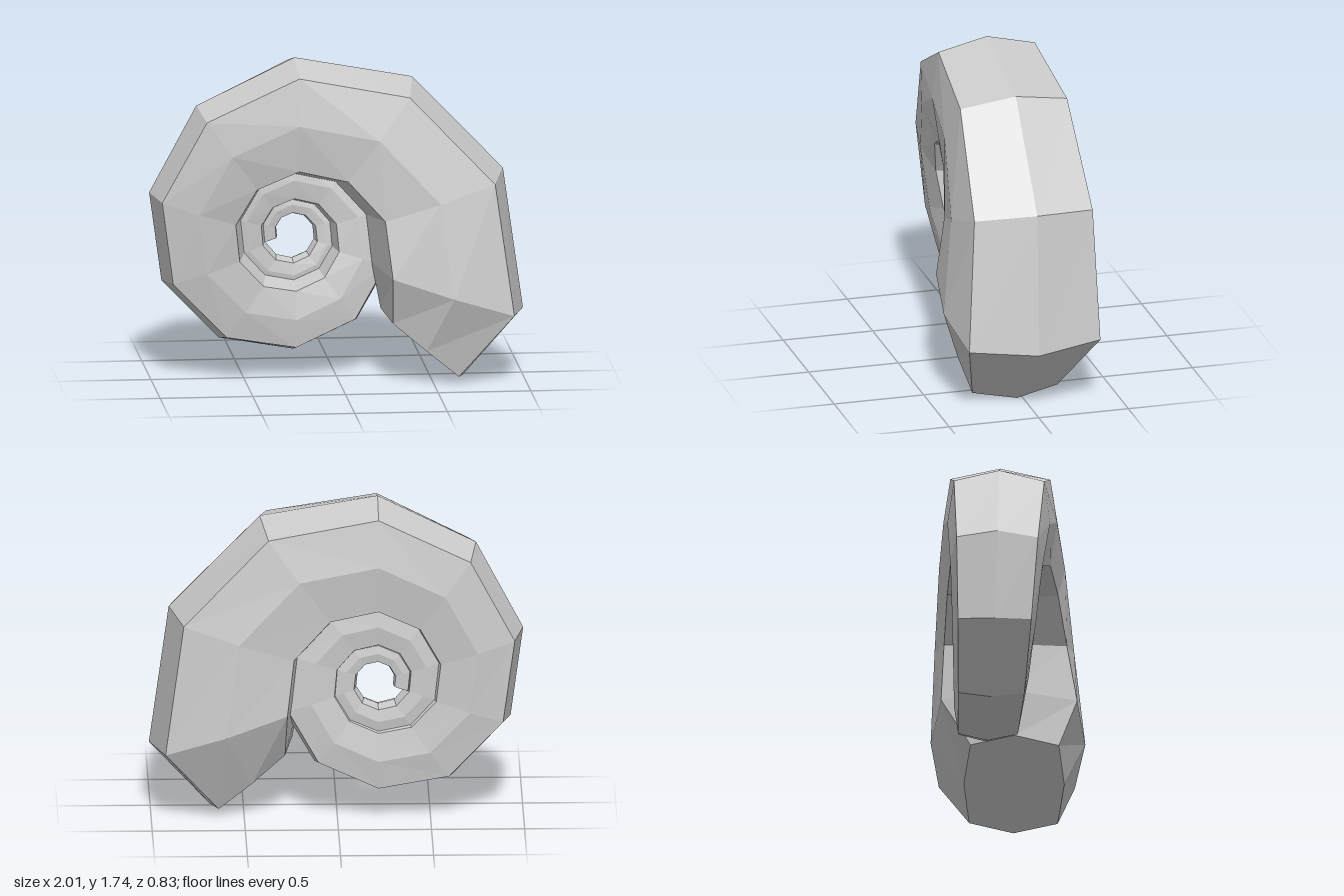
import * as THREE from 'three';

const SIDES = 8;         // corners of the tube section
const STEPS = 26;        // rings along the coil after the mouth ring
const AXIS = { x: -0.22, y: 0.76 };

// Ring k of the coil: angle, distance from axis, depth offset, radial and depth half-sizes
function ringAt(k) {
  const c = 0.86 * Math.pow(0.918, Math.min(k, 8)) * Math.pow(0.935, Math.max(k - 8, 0));
  return {
    angle: -18 + 36 * k,
    c,
    z: 0.288 * (c - 0.86),
    s: c * Math.max(0.5 - 0.007 * k, 0.36),
    w: c * Math.max(0.483 - 0.008 * k, 0.38),
  };
}

// Corners of one ring: a squarish octagon standing radially on the coil axis
function ringPoints({ angle, c, z, s, w }) {
  const a = THREE.MathUtils.degToRad(angle);
  const points = [];
  for (let j = 0; j < SIDES; j++) {
    const t = (j / SIDES) * Math.PI * 2;
    const corner = j % 2 === 1;
    const r = c + s * (corner ? 0.8 * Math.sign(Math.cos(t)) : Math.cos(t));
    const dz = w * (corner ? 0.88 * Math.sign(Math.sin(t)) : Math.sin(t));
    points.push(AXIS.x + r * Math.cos(a), AXIS.y + r * Math.sin(a), z + dz);
  }
  return points;
}

function coilGeometry() {
  // narrowed mouth ring first, then the coil winding inwards
  const rings = [{ angle: -40, c: 0.885, z: 0.03, s: 0.29, w: 0.27 }];
  for (let k = 0; k <= STEPS; k++) rings.push(ringAt(k));

  const index = [];
  for (let i = 0; i < rings.length - 1; i++) {
    for (let j = 0; j < SIDES; j++) {
      const n = (j + 1) % SIDES;
      const a = i * SIDES + j, b = a + SIDES;
      const d = i * SIDES + n, e = d + SIDES;
      index.push(a, b, d, b, e, d);
    }
  }
  // closed ends
  const last = (rings.length - 1) * SIDES;
  for (let j = 1; j < SIDES - 1; j++) {
    index.push(0, j, j + 1);
    index.push(last, last + j + 1, last + j);
  }

  const geometry = new THREE.BufferGeometry();
  geometry.setAttribute('position', new THREE.Float32BufferAttribute(rings.flatMap(ringPoints), 3));
  geometry.setIndex(index);
  const flat = geometry.toNonIndexed();
  flat.computeVertexNormals();
  return flat;
}

export function createModel() {
  const model = new THREE.Group();
  model.name = 'spiralShell';
  const material = new THREE.MeshStandardMaterial({ color: 0xcccccc, flatShading: true });
  const shell = new THREE.Mesh(coilGeometry(), material);
  shell.name = 'shellCoil';
  model.add(shell);
  return model;
}
